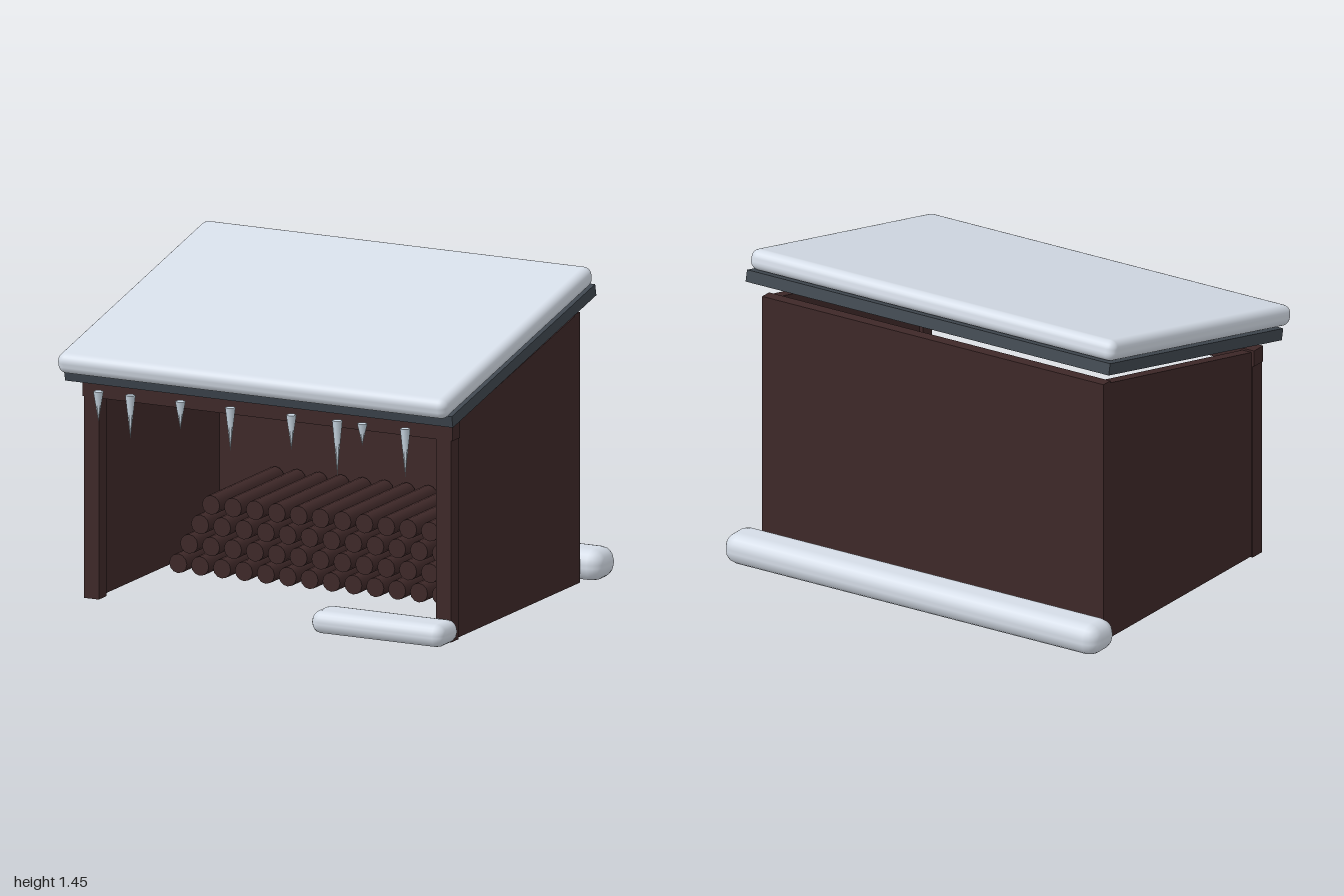
import * as THREE from 'three';
import { RoundedBoxGeometry } from 'three/addons/geometries/RoundedBoxGeometry.js';

const material = (name, color, flatShading = false) => {
  const m = new THREE.MeshStandardMaterial({ color, flatShading });
  m.name = name;
  return m;
};

export function createModel() {
  const wood = material('dark wood', 0x3e2828);
  const slate = material('slate roof', 0x3f474f);
  const snow = material('snow', 0xdde5f0);
  const ice = material('ice', 0xc8d6e2);

  const model = new THREE.Group();
  model.name = 'woodShed';

  const add = (name, geometry, mat, x, y, z, parent = model) => {
    const mesh = new THREE.Mesh(geometry, mat);
    mesh.name = name;
    mesh.position.set(x, y, z);
    parent.add(mesh);
    return mesh;
  };
  const box = (name, w, h, d, mat, x, y, z) =>
    add(name, new THREE.BoxGeometry(w, h, d), mat, x, y, z);

  // Sloping side walls: profile drawn in (-z, y), extruded along x
  const profile = new THREE.Shape([
    new THREE.Vector2(-0.57, 0.005),
    new THREE.Vector2(0.6, 0.005),
    new THREE.Vector2(0.6, 1.24),
    new THREE.Vector2(-0.57, 0.985),
  ]);
  const wallGeometry = new THREE.ExtrudeGeometry(profile, { depth: 0.05, bevelEnabled: false });
  wallGeometry.translate(0, 0, -0.025).rotateY(Math.PI / 2);
  for (const [side, s] of [['left', 1], ['right', -1]]) {
    add(side + 'Wall', wallGeometry, wood, s * 0.887, 0, 0);
    box(side + 'Post', 0.075, 0.92, 0.074, wood, s * 0.881, 0.46, 0.606);
  }

  // Back wall and front beam
  box('backWall', 1.824, 1.235, 0.055, wood, 0, 0.6225, -0.583);
  box('frontBeam', 1.85, 0.075, 0.074, wood, 0, 0.9575, 0.606);

  // Pitched roof with a snow blanket
  const pitch = Math.atan(0.2246);
  box('roof', 1.94, 0.054, 1.414, slate, 0, 1.185, 0.04).rotation.x = pitch;
  add('roofSnow', new RoundedBoxGeometry(1.95, 0.096, 1.475, 3, 0.04),
    snow, 0, 1.253, 0.09).rotation.x = pitch;

  // Snow drifts on the ground
  add('backDrift', new RoundedBoxGeometry(2, 0.145, 0.19, 2, 0.065), snow, 0, 0.0735, -0.72);
  add('frontDrift', new RoundedBoxGeometry(0.665, 0.105, 0.185, 2, 0.048), snow, 0.618, 0.0535, 0.705);

  // Stacked logs, each row one shorter than the row below
  const logs = new THREE.Group();
  logs.name = 'logStack';
  model.add(logs);
  const logGeometry = new THREE.CylinderGeometry(0.044, 0.044, 0.62, 12).rotateX(Math.PI / 2);
  for (let row = 0; row < 4; row++) {
    for (let i = 0; i < 14 - row; i++) {
      add('log', logGeometry, wood, -0.74 + row * 0.0548 + i * 0.1095, 0.056 + row * 0.095, -0.23, logs);
    }
  }

  // Icicles hanging from the eave: [x, length]
  const icicles = new THREE.Group();
  icicles.name = 'icicles';
  model.add(icicles);
  const spikes = [
    [-0.79, 0.14], [-0.63, 0.2], [-0.38, 0.13], [-0.13, 0.2],
    [0.175, 0.16], [0.405, 0.25], [0.53, 0.1], [0.745, 0.22],
  ];
  for (const [x, length] of spikes) {
    const cone = new THREE.ConeGeometry(0.023, length, 6).rotateX(Math.PI);
    add('icicle', cone, ice, x, 0.98 - length / 2, 0.75, icicles);
  }

  return model;
}
